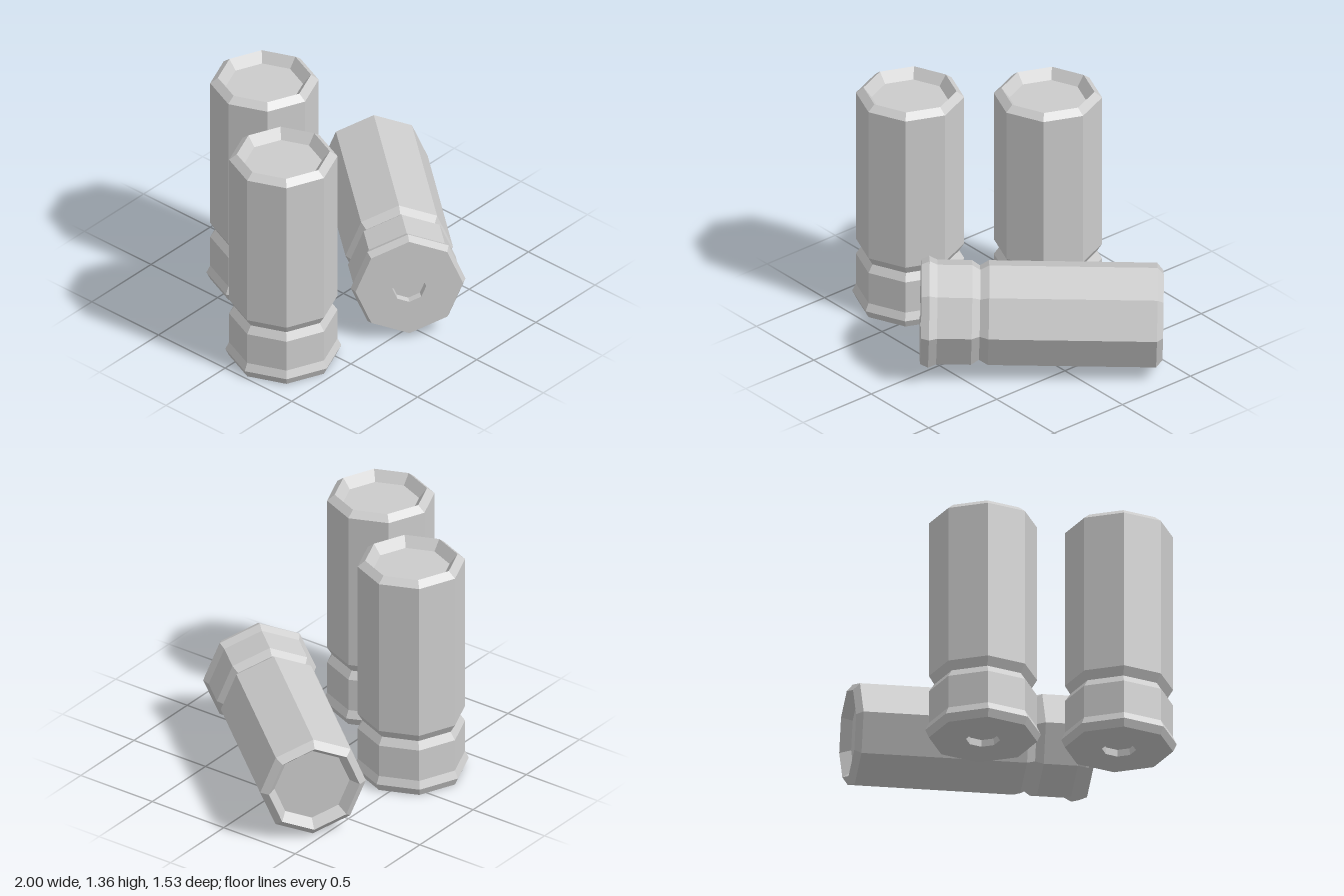
import * as THREE from 'three';

const material = new THREE.MeshStandardMaterial({ color: 0xcccccc, flatShading: true });

// Eight-sided turned part from a [radius, height] profile, with corners on the axes
function turned(name, profile) {
  const points = profile.map(([r, y]) => new THREE.Vector2(r, y));
  const mesh = new THREE.Mesh(new THREE.LatheGeometry(points, 8), material);
  mesh.name = name;
  return mesh;
}

// One cartridge standing on its base
function createCartridge(name) {
  const cartridge = new THREE.Group();
  cartridge.name = name;
  cartridge.add(
    // Recessed primer in the middle of the base
    turned('primerRecess', [[0, 0.04], [0.093, 0.04], [0.096, 0]]),
    // Base cap with flared rim, ending in the crimp groove
    turned('baseCap', [[0.096, 0], [0.305, 0], [0.326, 0.045], [0.305, 0.09], [0.305, 0.285], [0.275, 0.33]]),
    // Long tube with a bevelled mouth
    turned('tube', [[0.275, 0.33], [0.305, 0.38], [0.305, 1.325], [0.262, 1.36]]),
    // Shallow sunken closure at the mouth
    turned('mouthClosure', [[0.262, 1.36], [0.217, 1.3], [0, 1.3]])
  );
  return cartridge;
}

export function createModel() {
  const model = new THREE.Group();
  model.name = 'cartridges';

  // Two upright cartridges
  const left = createCartridge('standingCartridgeFront');
  left.position.set(-0.674, 0, 0.147);
  const back = createCartridge('standingCartridgeBack');
  back.position.set(-0.171, 0, -0.441);

  // One lying down, tipped slightly because the base rim is wider than the tube
  const lying = createCartridge('lyingCartridge');
  lying.position.set(-0.083, 0.337, 0.568);
  lying.rotation.set(Math.PI / 2 + 0.02, Math.atan2(0.64, -0.768), 0, 'YXZ');

  model.add(left, back, lying);
  return model;
}
